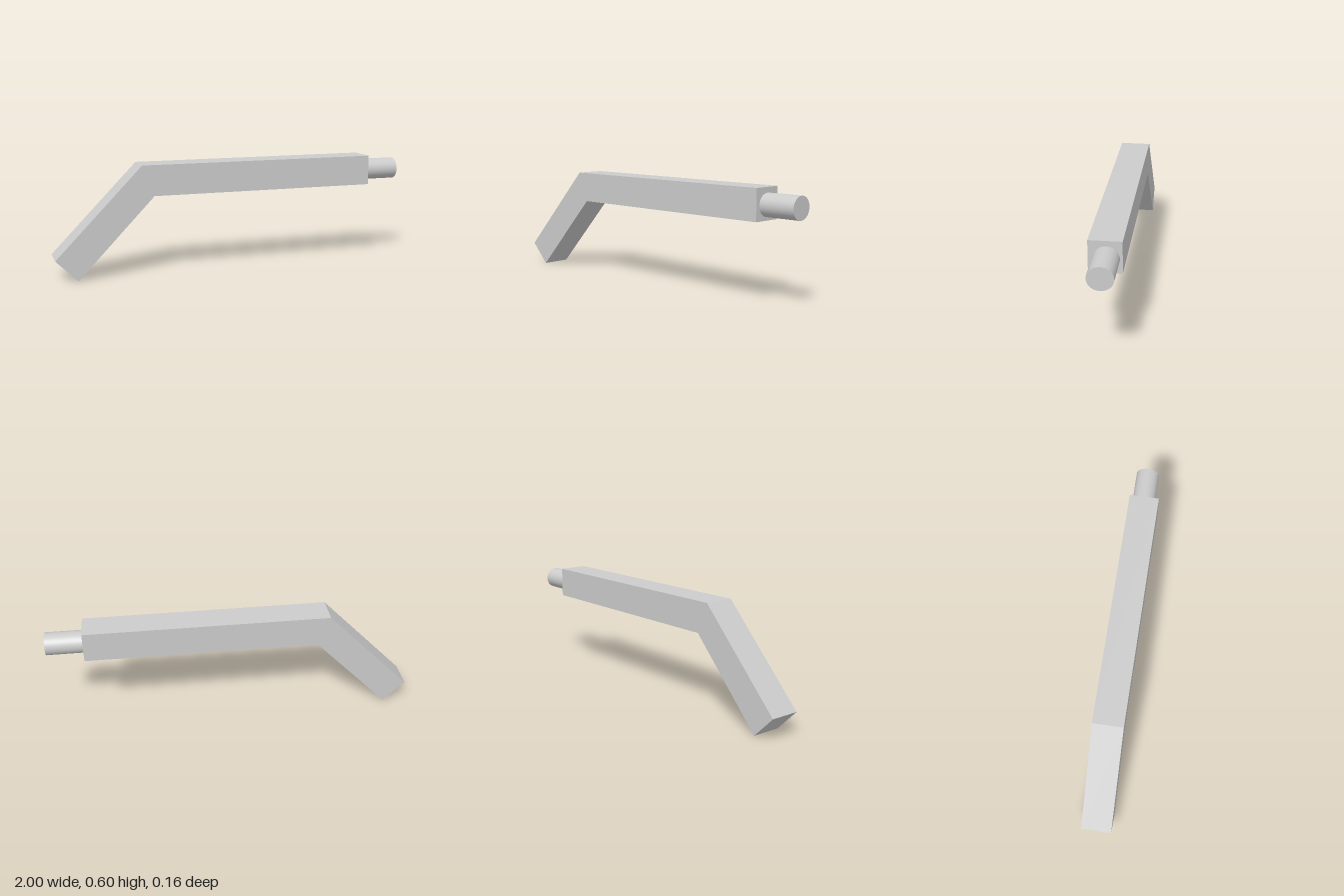
import * as THREE from 'three';

export function createModel() {
  const group = new THREE.Group();
  const material = new THREE.MeshStandardMaterial({ color: 0xcccccc });

  // Square bar with a mitred bend, extruded across its width
  const width = 0.164;
  const outline = [
    [-1, 0.117], [-0.883, 0], [-0.468, 0.43],
    [0.8, 0.43], [0.8, 0.596], [-0.532, 0.596],
  ].map(([x, y]) => new THREE.Vector2(x, y));
  const barGeometry = new THREE.ExtrudeGeometry(new THREE.Shape(outline), {
    depth: width, bevelEnabled: false,
  });
  barGeometry.translate(0, 0, -width / 2);
  const bar = new THREE.Mesh(barGeometry, material);
  bar.name = 'bentBar';
  group.add(bar);

  // Slightly oval peg on the end of the bar
  const pegGeometry = new THREE.CylinderGeometry(1, 1, 0.2, 64);
  pegGeometry.rotateZ(-Math.PI / 2);
  pegGeometry.scale(1, 0.06, 0.064);
  const peg = new THREE.Mesh(pegGeometry, material);
  peg.name = 'endPeg';
  peg.position.set(0.9, 0.508, -0.005);
  group.add(peg);

  return group;
}
